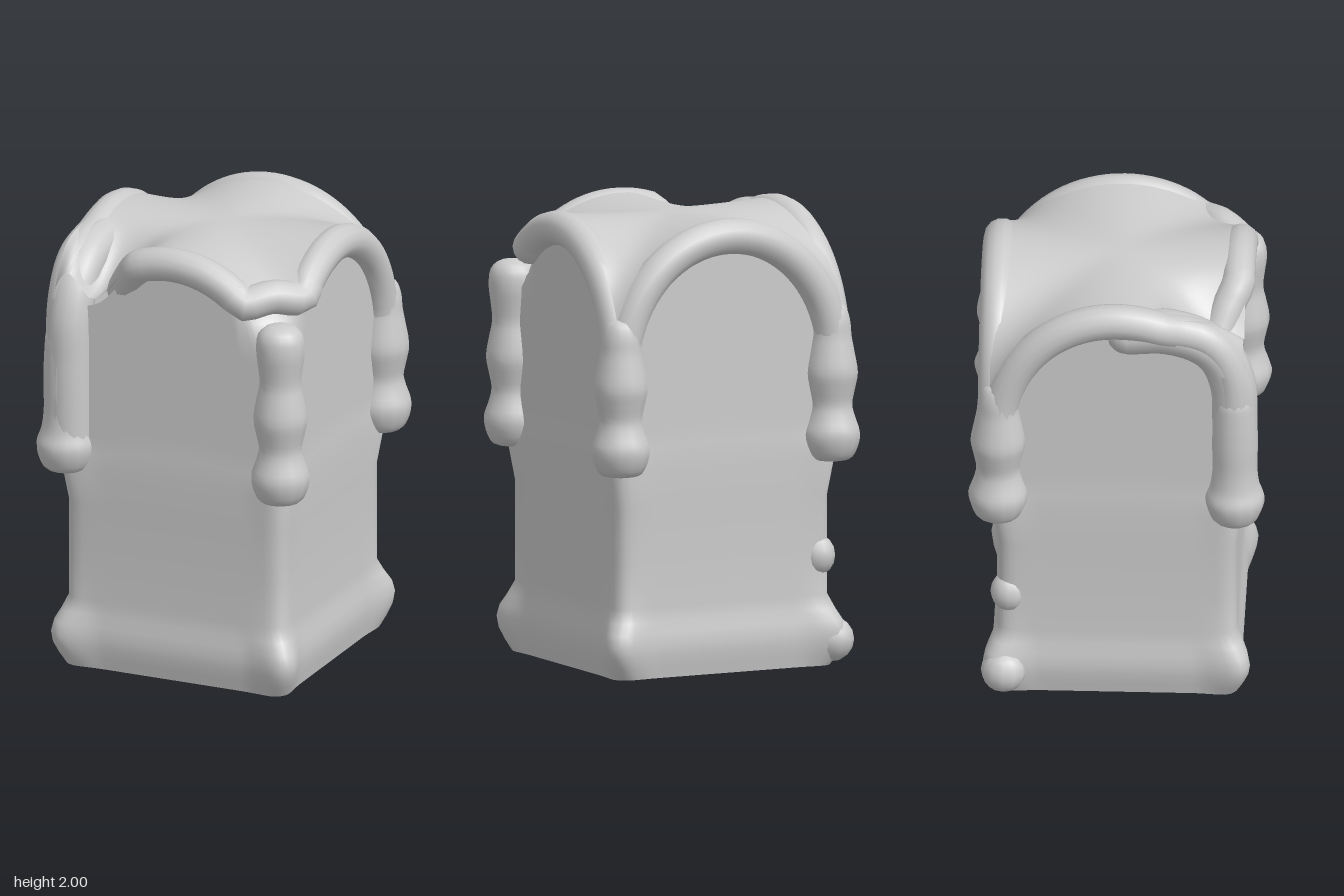
import * as THREE from 'three';
import { mergeVertices } from 'three/addons/utils/BufferGeometryUtils.js';

const mat = new THREE.MeshStandardMaterial({ color: 0xcccccc, side: THREE.DoubleSide });
const TOP = 1.985, RISE = 0.61, RADIUS = 0.585, EDGE = 0.55;
const clamp = THREE.MathUtils.clamp, lerp = THREE.MathUtils.lerp;
const smooth = THREE.MathUtils.smoothstep;

// fall of a rounded arch: 0 at the crown, 1 at the springing
const fall = s => 1 - Math.sqrt(Math.max(0, 1 - (s / RADIUS) ** 2));
const archY = s => TOP - RISE * fall(s);

// hollow beside the broken end of the front arch
const hollow = (x, z) => 0.14 * Math.exp(-(((x + 0.34) / 0.14) ** 2)) * smooth(z, 0.1, 0.52);

// fuller shoulder of the -x side arch towards the front
const shoulder = z => 0.17 * smooth(z, 0.15, 0.55);

// smooth surface from a rule over u, v in 0..1
function surface(nu, nv, rule) {
  const pos = [], index = [];
  for (let j = 0; j <= nv; j++) {
    for (let i = 0; i <= nu; i++) {
      pos.push(...rule(i / nu, j / nv));
      if (i < nu && j < nv) {
        const a = j * (nu + 1) + i, b = a + nu + 1;
        index.push(a, b, a + 1, b, b + 1, a + 1);
      }
    }
  }
  const geo = new THREE.BufferGeometry();
  geo.setAttribute('position', new THREE.Float32BufferAttribute(pos, 3));
  geo.setIndex(index);
  const merged = mergeVertices(geo, 1e-5);
  merged.computeVertexNormals();
  return merged;
}

// cuts the open front corner back to a diagonal
function cutCorner(x, z, limit) {
  const k = Math.max(0, x + z - limit) / 2;
  return [x - k, z - k];
}

// walls: rounded square swept upward, open at the foot, ending under the arches
function wallGeometry() {
  const levels = [0, 0.05, 0.1, 0.15, 0.2, 0.25, 0.31, 0.5, 0.75, 0.92];
  const flare = [0, 0.01, 0.02, 0.022, 0.016, 0.006, 0, 0, 0, 0.01];
  const knob = [0.01, 0.025, 0.035, 0.04, 0.036, 0.02, 0, 0, 0, 0.015];
  const last = levels.length - 1, rows = last + 10;
  return surface(144, rows, (u, v) => {
    const side = Math.floor(u * 4) % 4, t = (u * 4) % 1;
    const s = lerp(-0.522, 0.522, t), h = 0.522;
    let [x, z] = [[s, h], [h, -s], [-s, -h], [-h, s]][side];
    const cx = clamp(x, -0.45, 0.45), cz = clamp(z, -0.45, 0.45);
    const len = Math.hypot(x - cx, z - cz);
    x = cx + (x - cx) / len * 0.072;
    z = cz + (z - cz) / len * 0.072;
    const open = smooth(x + z, 0.78, 0.9);
    const top = lerp(archY(s) - 0.03 - hollow(x, z), 1.78, open);
    const row = Math.round(v * rows);
    const y = row <= last ? levels[row] : lerp(levels[last], top, (row - last) / (rows - last));
    // slight plinth, swelling into a knob at each corner
    if (row <= last) {
      const corner = smooth(Math.min(Math.abs(x), Math.abs(z)), 0.33, 0.48);
      const grow = 1 + (flare[row] + knob[row] * corner) / 0.522;
      x *= grow; z *= grow;
    }
    [x, z] = cutCorner(x, z, lerp(2, 0.82, smooth(y, 1.5, 1.72)));
    return [x, y, z];
  });
}

// roof: crossing vaults sagging into the corners
function roofGeometry() {
  const rim = (fall(EDGE) + 1e-4) ** -2;
  return surface(48, 48, (u, v) => {
    let x = EDGE * Math.sin((u - 0.5) * Math.PI), z = EDGE * Math.sin((v - 0.5) * Math.PI);
    const fx = fall(x) + 1e-4, fz = fall(z) + 1e-4;
    const g = 1 / Math.sqrt(fx ** -2 + fz ** -2 - rim);
    let y = TOP - RISE * g - 0.02 * (1 - (x / EDGE) ** 2) * (1 - (z / EDGE) ** 2);
    y += shoulder(z) * smooth(-x, 0.36, 0.52) - hollow(x, z);
    // lip over the open corner
    if (x + z > 0.86) y = Math.max(y, 1.8);
    [x, z] = cutCorner(x, z, 0.88);
    return [x, y, z];
  });
}

function tube(name, points, radius) {
  const group = new THREE.Group();
  group.name = name;
  const path = new THREE.CatmullRomCurve3(points, false, 'centripetal');
  const rail = new THREE.Mesh(new THREE.TubeGeometry(path, 72, radius, 14), mat);
  rail.name = 'ridge';
  group.add(rail);
  for (const p of [points[0], points[points.length - 1]]) {
    const end = new THREE.Mesh(new THREE.SphereGeometry(radius, 12, 8), mat);
    end.name = 'ridgeEnd';
    end.position.copy(p);
    group.add(end);
  }
  return group;
}

// points of an arch from s0 to s1; place turns (s, y) into a point
function archPoints(s0, s1, place) {
  const pts = [], n = 14, R = 0.515;
  for (let i = 0; i <= n; i++) {
    const a = lerp(Math.asin(s0 / R), Math.asin(s1 / R), i / n);
    pts.push(place(R * Math.sin(a), TOP - 0.065 - 0.56 * (1 - Math.cos(a))));
  }
  return pts;
}

export function createModel() {
  const model = new THREE.Group();
  model.name = 'vaultedBlock';
  const add = (name, geo, x = 0, y = 0, z = 0) => {
    const mesh = new THREE.Mesh(geo, mat);
    mesh.name = name;
    mesh.position.set(x, y, z);
    model.add(mesh);
    return mesh;
  };
  const V = (x, y, z) => new THREE.Vector3(x, y, z);

  add('walls', wallGeometry());
  add('roof', roofGeometry());

  // whole arches on the back and the -x side
  const D = 0.525;
  const back = archPoints(-0.51, 0.51, (s, y) => V(s, y, -D));
  const side = archPoints(-0.51, 0.51, (s, y) => V(-D, y + shoulder(s), s));
  for (const [name, pts] of [['backArch', back], ['sideArch', side]]) {
    const a = pts[0].clone().setY(1.05), b = pts[pts.length - 1].clone().setY(1.05);
    model.add(tube(name, [a, ...pts, b], 0.078));
  }

  // thick shoulder where the -x side arch comes down at the front
  model.add(tube('archShoulder', [
    V(-0.5, 1.05, 0.515), V(-0.5, 1.4, 0.515), V(-0.5, 1.6, 0.505), V(-0.5, 1.73, 0.455),
    V(-0.5, 1.81, 0.37), V(-0.495, 1.855, 0.22), V(-0.48, 1.84, 0.05),
  ], 0.1));

  // front arch carried round the open corner into the other side arch
  const front = archPoints(-0.16, 0.33, (s, y) => V(s, y, D - 0.01));
  const right = archPoints(0.33, -0.51, (s, y) => V(D, y, s));
  const foot = right[right.length - 1].clone().setY(1.05);
  const start = [V(-0.27, 1.74, 0.44), V(-0.22, 1.82, 0.475)];
  model.add(tube('frontArch', [...start, ...front, V(0.43, 1.81, 0.43), ...right, foot], 0.075));

  // corner columns with swellings
  const lower = [[0, 0.9], [0.08, 0.905], [0.115, 0.95], [0.13, 1.02], [0.108, 1.09]];
  const knotted = [...lower, [0.095, 1.15], [0.108, 1.22], [0.12, 1.29], [0.105, 1.38], [0.092, 1.45]];
  const profiles = {
    open: [...knotted, [0.1, 1.53], [0.108, 1.6], [0.1, 1.67], [0.06, 1.71], [0, 1.72]],
    knotted: [...knotted, [0.085, 1.52], [0.06, 1.58], [0, 1.6]],
    plain: [...lower, [0.098, 1.18], [0.1, 1.3], [0.095, 1.45], [0.08, 1.55], [0, 1.65]],
  };
  const columns = [[0.51, 0.51, 'open'], [-0.515, 0.515, 'plain'], [0.52, -0.525, 'knotted'], [-0.515, -0.515, 'knotted']];
  for (const [x, z, kind] of columns) {
    const curve = new THREE.SplineCurve(profiles[kind].map(p => new THREE.Vector2(...p)));
    const pts = curve.getPoints(36).map(p => p.setX(Math.max(0, p.x)));
    add('cornerColumn', new THREE.LatheGeometry(pts, 14), x, 0, z);
  }

  // extra swellings low on the back corner
  add('backCornerKnob', new THREE.SphereGeometry(0.08, 12, 8), -0.47, 0.48, -0.47).scale.y = 1.15;
  add('backCornerKnob', new THREE.SphereGeometry(0.1, 12, 8), -0.53, 0.11, -0.49);
  return model;
}
